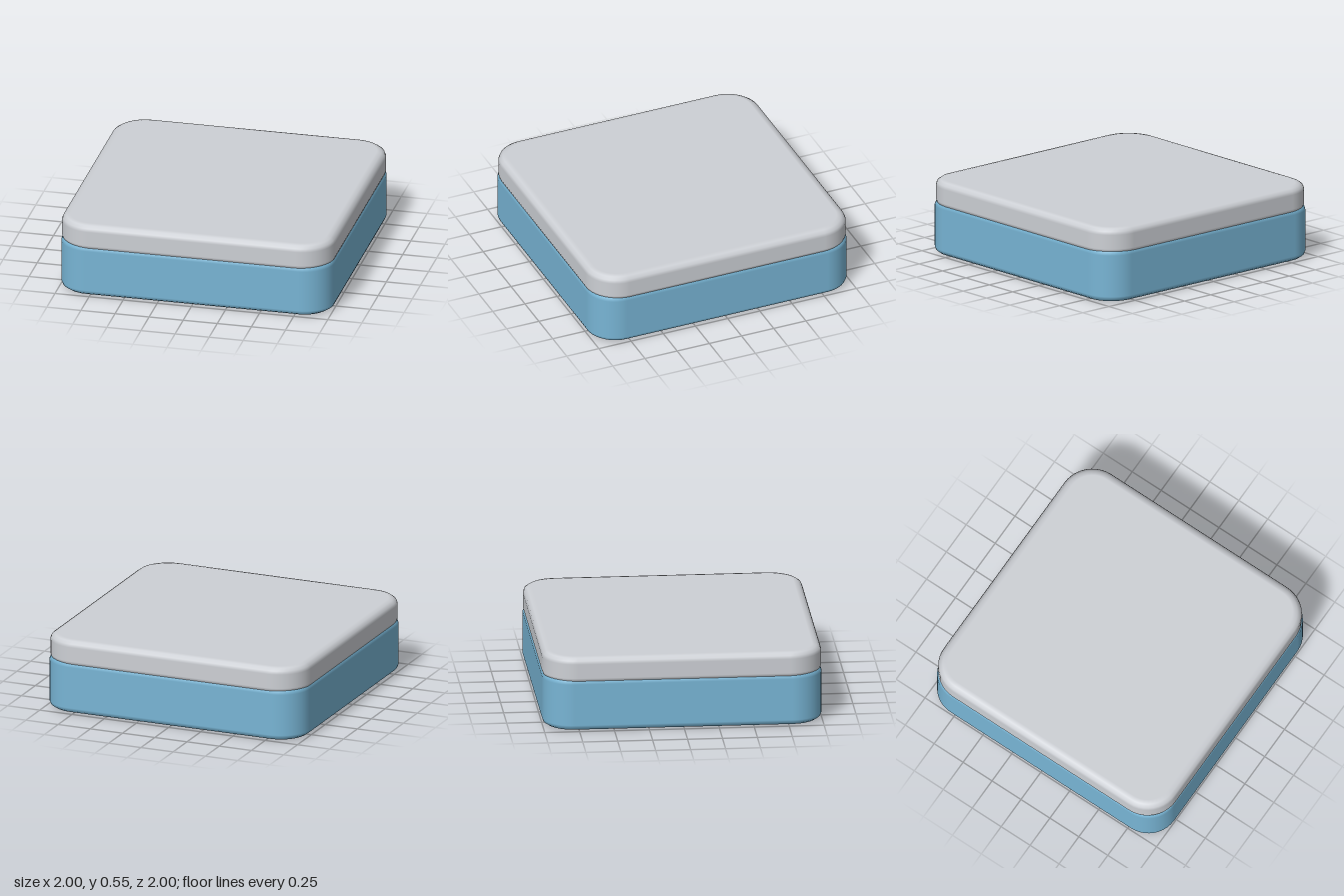
import * as THREE from 'three';

const HALF = 1;          // half width of both slabs
const CORNER_STEPS = 10; // facets around each upright corner
const BEVEL_STEPS = 3;   // facets across each rolled edge

// Square slab with rounded upright corners, rolled edges and flat caps.
function slabGeometry(y0, y1, corner, bevelWidth, bevelHeight) {
  const positions = [], normals = [], index = [];

  // Outline: corner centre sign plus outward direction, going from +x to +z.
  const outline = [];
  for (let q = 0; q < 4; q++) {
    const sx = q === 0 || q === 3 ? 1 : -1;
    const sz = q < 2 ? 1 : -1;
    for (let i = 0; i <= CORNER_STEPS; i++) {
      const a = (q + i / CORNER_STEPS) * Math.PI / 2;
      outline.push({ sx, sz, c: Math.cos(a), s: Math.sin(a) });
    }
  }
  const n = outline.length;

  const addRing = (inset, y, tilt, flat) => {
    const start = positions.length / 3;
    for (const p of outline) {
      const r = corner - inset;
      positions.push(p.sx * (HALF - corner) + p.c * r, y, p.sz * (HALF - corner) + p.s * r);
      if (flat) normals.push(0, flat, 0);
      else normals.push(p.c * Math.cos(tilt), Math.sin(tilt), p.s * Math.cos(tilt));
    }
    return start;
  };

  // Side wall: lower rolled edge, upright face, upper rolled edge.
  const rings = [];
  for (const end of [-1, 1]) {
    for (let i = 0; i <= BEVEL_STEPS; i++) {
      const t = (end < 0 ? i / BEVEL_STEPS - 1 : i / BEVEL_STEPS) * Math.PI / 2;
      const base = end < 0 ? y0 + bevelHeight : y1 - bevelHeight;
      rings.push(addRing(bevelWidth * (1 - Math.cos(t)), base + bevelHeight * Math.sin(t), t, 0));
    }
  }
  for (let k = 0; k < rings.length - 1; k++) {
    for (let j = 0; j < n; j++) {
      const m = (j + 1) % n, a = rings[k], b = rings[k + 1];
      index.push(a + j, b + j, a + m, a + m, b + j, b + m);
    }
  }

  // Flat caps.
  for (const [y, dir] of [[y0, -1], [y1, 1]]) {
    const ring = addRing(bevelWidth, y, 0, dir);
    const centre = positions.length / 3;
    positions.push(0, y, 0);
    normals.push(0, dir, 0);
    for (let j = 0; j < n; j++) {
      const m = (j + 1) % n;
      if (dir > 0) index.push(centre, ring + m, ring + j);
      else index.push(centre, ring + j, ring + m);
    }
  }

  const geometry = new THREE.BufferGeometry();
  geometry.setAttribute('position', new THREE.Float32BufferAttribute(positions, 3));
  geometry.setAttribute('normal', new THREE.Float32BufferAttribute(normals, 3));
  geometry.setIndex(index);
  return geometry;
}

export function createModel() {
  const model = new THREE.Group();
  model.name = 'roundedBlock';

  const blue = new THREE.MeshStandardMaterial({ color: 0x78b5d5 });
  blue.name = 'blue';
  const grey = new THREE.MeshStandardMaterial({ color: 0xcdd0d5 });
  grey.name = 'lightGrey';

  // Thick lower slab
  const base = new THREE.Mesh(slabGeometry(0, 0.395, 0.22, 0.065, 0.045), blue);
  base.name = 'base';
  model.add(base);

  // Thinner upper slab, sunk slightly into the base to leave a seam groove
  const lid = new THREE.Mesh(slabGeometry(0.35, 0.545, 0.24, 0.065, 0.045), grey);
  lid.name = 'lid';
  model.add(lid);

  return model;
}
